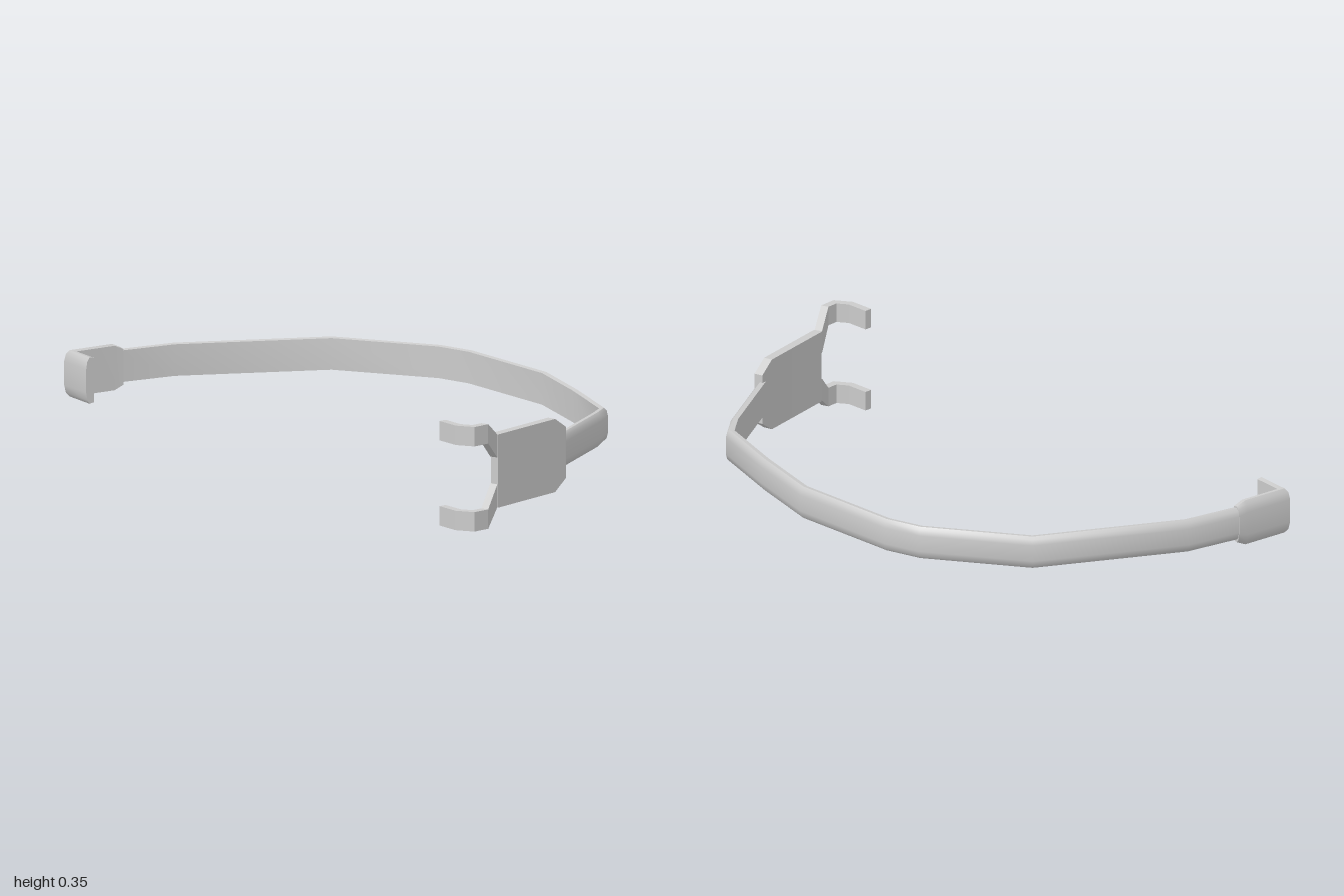
import * as THREE from 'three';
import { toCreasedNormals } from 'three/addons/utils/BufferGeometryUtils.js';

const MID = 0.175; // mirror height of the clip

// Cross-sections as [outward offset in thicknesses, height fraction], counterclockwise.
const FLAT = [[-0.5, 0], [0.5, 0], [0.5, 1], [-0.5, 1]];
const ROUNDED = [[-0.5, 0.02], [0.05, 0], [0.35, 0.08], [0.5, 0.25],
  [0.5, 0.75], [0.35, 0.92], [0.05, 1], [-0.5, 0.98]];

// Sweeps a section along stations [x, z, yLow, yHigh] with mitred joints.
function sweep(name, stations, section, thickness, crease) {
  const dir = (a, b) => new THREE.Vector2(b[0] - a[0], b[1] - a[1]).normalize();
  const last = stations.length - 1;
  const rings = stations.map((s, i) => {
    const d0 = i > 0 ? dir(stations[i - 1], s) : dir(s, stations[1]);
    const d1 = i < last ? dir(s, stations[i + 1]) : d0;
    const t = d0.clone().add(d1).normalize();
    const w = thickness / Math.max(t.dot(d0), 0.5);
    return section.map(([u, v]) =>
      [s[0] + t.y * u * w, s[2] + (s[3] - s[2]) * v, s[1] - t.x * u * w]);
  });
  const n = section.length;
  const index = [];
  for (let i = 0; i < last; i++) {
    for (let k = 0; k < n; k++) {
      const a = i * n + k, b = i * n + (k + 1) % n;
      index.push(a, b, b + n, a, b + n, a + n);
    }
  }
  for (let k = 1; k < n - 1; k++) {
    index.push(0, k + 1, k);
    index.push(last * n, last * n + k, last * n + k + 1);
  }
  const geo = new THREE.BufferGeometry();
  geo.setAttribute('position', new THREE.Float32BufferAttribute(rings.flat(2), 3));
  geo.setIndex(index);
  const mesh = new THREE.Mesh(toCreasedNormals(geo, crease),
    new THREE.MeshStandardMaterial({ color: 0xcccccc }));
  mesh.name = name;
  return mesh;
}

export function createModel() {
  const group = new THREE.Group();
  group.name = 'curvedStrap';

  // Long bent band, from the rear hook round to the front plate
  const path = [[-0.47, -0.985], [-0.255, -0.985], [0.245, -0.83], [0.505, -0.56],
    [0.56, -0.445], [0.635, -0.06], [0.61, 0.21], [0.57, 0.48], [0.51, 0.55], [0.25, 0.78]];
  group.add(sweep('band', path.map(([x, z], i) => [x, z, 0.12, i > 7 ? 0.235 : 0.23]),
    ROUNDED, 0.028, 0.8));

  // Wider rear end with its bent lip
  group.add(sweep('rearHook', [
    [-0.632, -0.845, 0.095, 0.25],
    [-0.642, -0.967, 0.095, 0.25],
    [-0.48, -0.984, 0.095, 0.25],
    [-0.447, -0.985, 0.11, 0.235],
  ], ROUNDED, 0.03, 0.8));

  // Front plate, chamfered where the band enters
  group.add(sweep('frontPlate', [
    [0.272, 0.77, 0.09, 0.26],
    [0.22, 0.793, 0.052, 0.297],
    [-0.047, 0.907, 0.052, 0.297],
  ], FLAT, 0.03, 0.3));

  // Pair of splayed arms ending in hooks
  const arm = [
    [-0.03, 0.9, 0.22, 0.297],
    [-0.05, 0.908, 0.22, 0.297],
    [-0.112, 0.965, 0.285, 0.35],
    [-0.16, 0.978, 0.285, 0.35],
    [-0.197, 0.94, 0.285, 0.35],
    [-0.213, 0.86, 0.285, 0.35],
  ];
  group.add(sweep('upperClipArm', arm, FLAT, 0.026, 0.3));
  const lower = arm.map(([x, z, a, b]) => [x, z, 2 * MID - b, 2 * MID - a]);
  group.add(sweep('lowerClipArm', lower, FLAT, 0.026, 0.3));

  return group;
}
